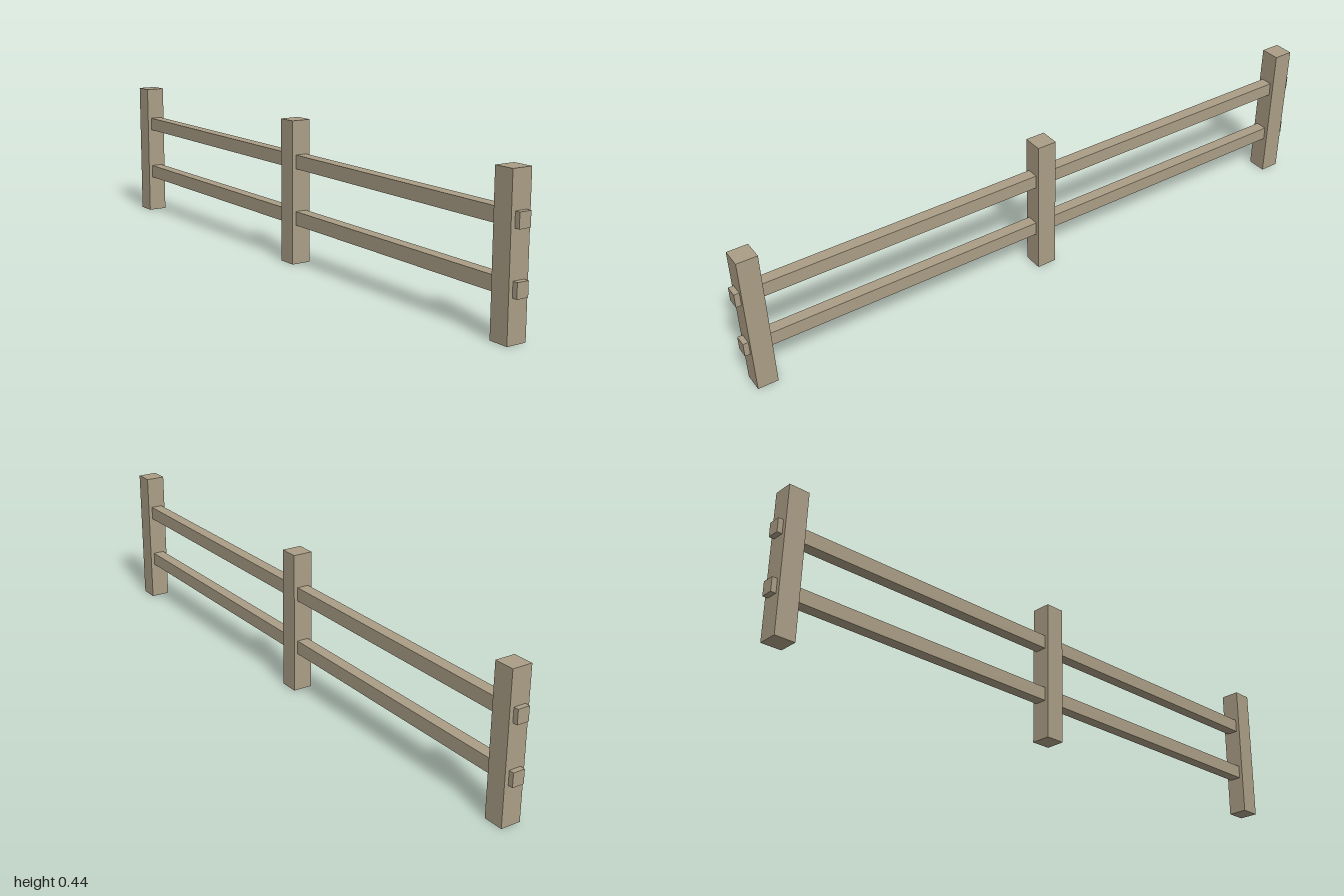
import * as THREE from 'three';

export function createModel() {
  const fence = new THREE.Group();
  fence.name = 'fence';
  const wood = new THREE.MeshStandardMaterial({ color: 0xab9e86, flatShading: true });

  // A box standing with its underside at height y
  function addBeam(name, width, height, depth, y, z) {
    const beam = new THREE.Mesh(new THREE.BoxGeometry(width, height, depth), wood);
    beam.name = name;
    beam.position.set(0, y + height / 2, z);
    fence.add(beam);
  }

  // Three square posts
  const posts = { frontPost: 0.953, middlePost: 0, backPost: -0.953 };
  for (const [name, z] of Object.entries(posts)) addBeam(name, 0.0625, 0.445, 0.0625, 0, z);

  // Two rails running through the posts, with short ends beyond them
  const rails = { lowerRail: 0.122, upperRail: 0.297 };
  for (const [name, y] of Object.entries(rails)) addBeam(name, 0.0375, 0.043, 2, y, 0);

  return fence;
}
